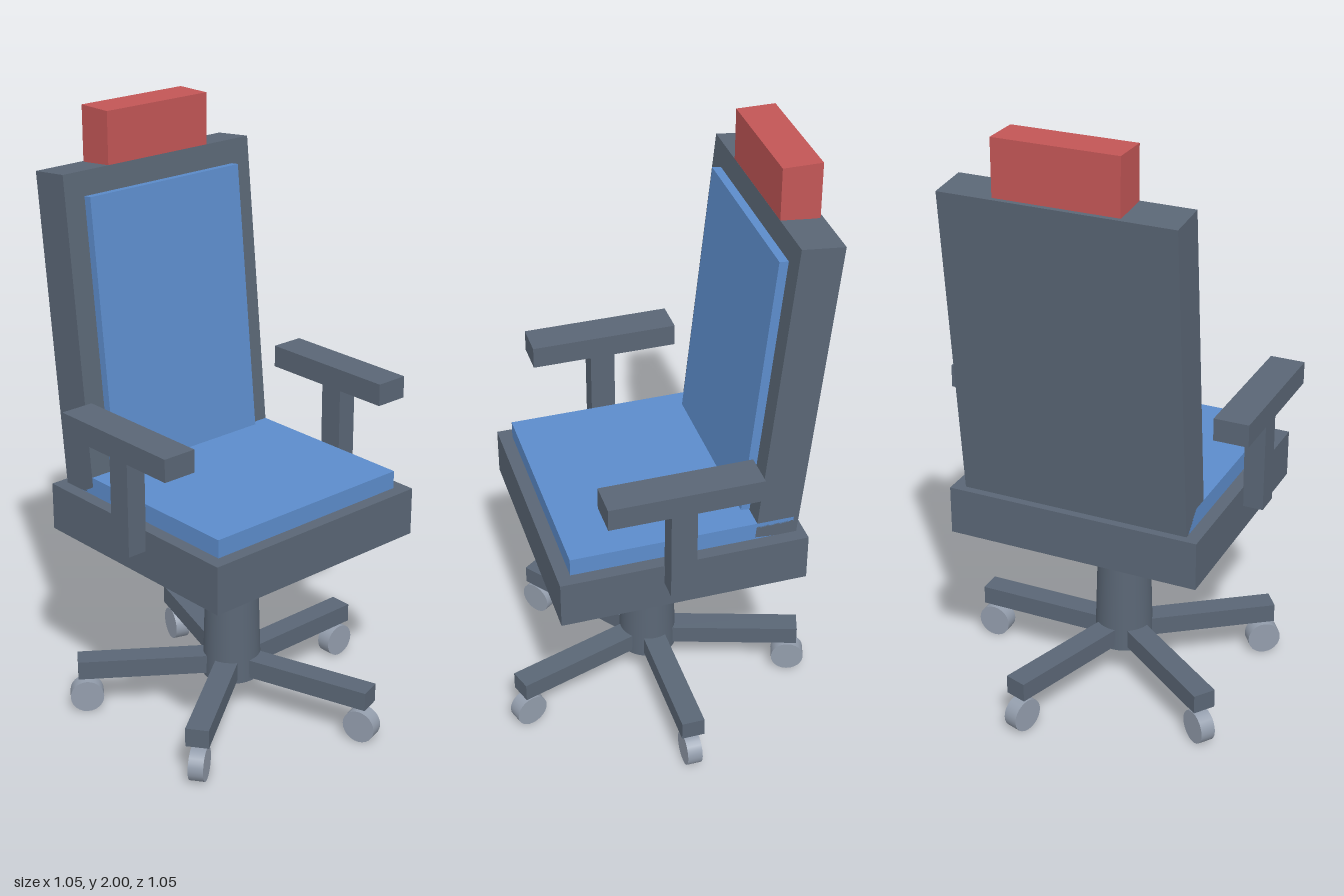
import * as THREE from 'three';

const material = (name, color) => {
  const m = new THREE.MeshStandardMaterial({ color });
  m.name = name;
  return m;
};

export function createModel() {
  const frame = material('slate frame', 0x5a6675);
  const fabric = material('blue fabric', 0x5c8ccb);
  const accent = material('red accent', 0xc25656);
  const wheel = material('grey wheel', 0x939dac);

  const chair = new THREE.Group();
  chair.name = 'officeChair';
  // Everything is symmetric about the chair's own axis
  chair.position.x = -0.021;

  const add = (parent, name, geometry, mat, x, y, z) => {
    const mesh = new THREE.Mesh(geometry, mat);
    mesh.name = name;
    mesh.position.set(x, y, z);
    parent.add(mesh);
    return mesh;
  };
  const box = (parent, name, mat, [w, h, d], [x, y, z]) =>
    add(parent, name, new THREE.BoxGeometry(w, h, d), mat, x, y, z);

  // Seat
  box(chair, 'seatBase', frame, [0.84, 0.16, 0.81], [0, 0.72, 0]);
  box(chair, 'seatCushion', fabric, [0.755, 0.06, 0.73], [0, 0.83, -0.003]);

  // Reclined backrest with its pad
  const backrest = new THREE.Group();
  backrest.name = 'backrest';
  backrest.position.set(0, 1.312, -0.361);
  backrest.rotation.x = -0.1;
  chair.add(backrest);
  box(backrest, 'backFrame', frame, [0.755, 1.03, 0.138], [0, 0, 0]);
  box(backrest, 'backPad', fabric, [0.607, 0.895, 0.032], [0, -0.011, 0.082]);

  // Upright headrest
  box(chair, 'headrest', accent, [0.403, 0.18, 0.126], [0, 1.91, -0.407]);

  // Armrests
  for (const [side, s] of [['left', 1], ['right', -1]]) {
    box(chair, side + 'ArmPost', frame, [0.068, 0.34, 0.083], [s * 0.452, 0.9, 0.029]);
    box(chair, side + 'ArmPad', frame, [0.114, 0.074, 0.491], [s * 0.449, 1.092, 0.028]);
  }

  // Tapered column
  add(chair, 'column', new THREE.CylinderGeometry(0.083, 0.098, 0.53, 32), frame, 0, 0.385, 0);

  // Five-spoke base with a wheel under each tip
  for (let i = 0; i < 5; i++) {
    const spoke = new THREE.Group();
    spoke.name = 'spoke' + (i + 1);
    spoke.rotation.y = (i * Math.PI * 2) / 5;
    chair.add(spoke);
    box(spoke, 'leg', frame, [0.518, 0.064, 0.076], [0.259, 0.165, 0]);
    const caster = add(spoke, 'caster',
      new THREE.CylinderGeometry(0.056, 0.056, 0.05, 24), wheel, 0.49, 0.058, 0);
    caster.rotation.x = Math.PI / 2;
  }

  return chair;
}
